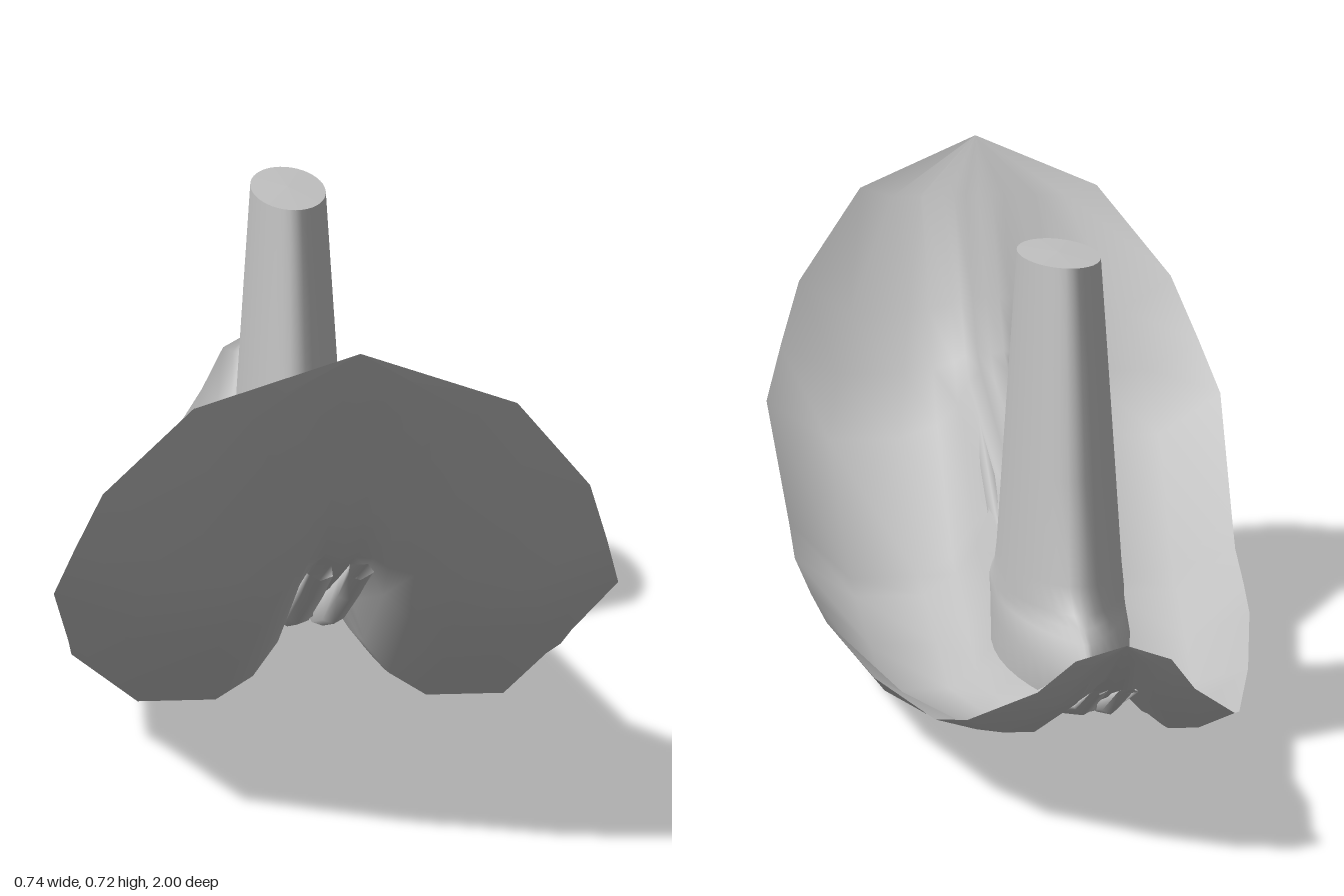
import * as THREE from 'three';

// Skin a grid of points: rows of equal length, optionally closed around each row
function loft(rows, closed = false) {
  const n = rows[0].length, index = [];
  for (let i = 0; i < rows.length - 1; i++) {
    for (let j = 0; j < (closed ? n : n - 1); j++) {
      const k = (j + 1) % n;
      const a = i * n + j, b = i * n + k, c = a + n, d = b + n;
      index.push(a, b, c, b, d, c);
    }
  }
  const g = new THREE.BufferGeometry();
  g.setAttribute('position', new THREE.Float32BufferAttribute(rows.flat(2), 3));
  g.setIndex(index);
  g.computeVertexNormals();
  return g;
}

// Stations along the hull: z, rim half width, rim height, trough height, ridge height
const stations = [
  [1, 0.001, 0.725, 0.725, 0.725],
  [0.94, 0.2, 0.645, 0.63, 0.632],
  [0.82, 0.31, 0.505, 0.45, 0.475],
  [0.74, 0.345, 0.41, 0.36, 0.395],
  [0.67, 0.372, 0.33, 0.265, 0.372],
  [0.4, 0.35, 0.18, 0.09, 0.255],
  [0.33, 0.345, 0.138, 0.075, 0.23],
  [0.15, 0.33, 0.12, 0.037, 0.185],
  [0, 0.315, 0.108, 0.003, 0.165],
  [-0.3, 0.265, 0.093, 0.04, 0.155],
  [-0.6, 0.205, 0.105, 0.09, 0.16],
  [-0.75, 0.175, 0.14, 0.122, 0.17],
  [-0.9, 0.1, 0.21, 0.195, 0.225],
  [-0.97, 0.06, 0.265, 0.258, 0.265],
  [-1, 0.001, 0.29, 0.29, 0.29],
];

// Ridge height at any z
function ridgeAt(z) {
  const i = Math.max(1, stations.findIndex((s) => s[0] <= z));
  const [a, b] = [stations[i - 1], stations[i]];
  return THREE.MathUtils.mapLinear(z, a[0], b[0], a[4], b[4]);
}

// One cross-section: grooved centre ridge, trough, then upturned rim
function hullSection([z, w, rim, low, ridge]) {
  const s = Math.min(1, w / 0.2), rise = ridge - low;
  const groove = Math.min(0.015, Math.abs(rise) * 0.15);
  const half = [
    [0.022 * s, ridge],
    [0.042 * s, ridge - rise * 0.15],
    [0.06 * s, low + rise * 0.5],
    [0.095 * s, low + rise * 0.2],
    [Math.max(0.42 * w, 0.1 * s), low],
    [0.73 * w, low],
    [w, rim],
  ];
  return [
    ...half.slice().reverse().map(([x, y]) => [-x, y, z]),
    [0, ridge - groove, z],
    ...half.map(([x, y]) => [x, y, z]),
  ];
}

// Lens or oval outline at one height; a higher power gives sharper ends
function mastRing([y, front, back, halfWidth, power]) {
  const n = 40, mid = (front + back) / 2, len = (front - back) / 2;
  return Array.from({ length: n }, (_, i) => {
    const t = (i / n) * Math.PI * 2, s = Math.sin(t);
    return [Math.sign(s) * halfWidth * Math.abs(s) ** power, y, mid + len * Math.cos(t)];
  });
}

export function createModel() {
  const model = new THREE.Group();
  const grey = new THREE.MeshStandardMaterial({ color: 0xc0c0c0, side: THREE.DoubleSide });
  grey.name = 'light grey';

  const add = (name, geometry) => {
    const mesh = new THREE.Mesh(geometry, grey);
    mesh.name = name;
    model.add(mesh);
    return mesh;
  };

  // Curved hull sheet
  add('hull', loft(stations.map(hullSection)));

  // Pointed base flaring into the upright mast
  const rings = [
    [0.12, 0.13, -0.64, 0.092, 1.6],
    [0.17, 0.155, -0.67, 0.092, 1.6],
    [0.2, 0.155, -0.6, 0.091, 1.6],
    [0.212, 0.11, -0.56, 0.09, 1.45],
    [0.225, 0.035, -0.53, 0.088, 1.2],
    [0.26, 0.005, -0.505, 0.084, 1],
    [0.4, -0.026, -0.475, 0.075, 1],
    [0.55, -0.056, -0.445, 0.065, 1],
    [0.683, -0.08, -0.418, 0.056, 1],
  ];
  add('mast', loft(rings.map(mastRing), true));

  // Flat mast top
  const top = rings[rings.length - 1];
  add('mastTop', loft([mastRing(top), mastRing([0.685, -0.249, -0.251, 0.001, 1])], true));

  // Twin keel rails under the ridge: z and lowest height
  const keel = [
    [0.72, 0.355], [0.55, 0.275], [0.3, 0.165], [0.1, 0.1], [-0.1, 0.07],
    [-0.3, 0.06], [-0.5, 0.085], [-0.7, 0.13], [-0.88, 0.2],
  ];
  for (const side of [1, -1]) {
    const rows = keel.map(([z, bottom]) => {
      const y = ridgeAt(z) - 0.012, s = z < -0.6 ? 0.7 : 1;
      return [[0.012, y], [0.036, y], [0.044, (y + bottom) / 2], [0.04, bottom + 0.008],
        [0.026, bottom], [0.01, bottom + 0.006]].map(([x, h]) => [side * x * s, h, z]);
    });
    add(side > 0 ? 'leftKeelRail' : 'rightKeelRail', loft(side > 0 ? rows : rows.map((r) => r.reverse()), true));
  }

  return model;
}
